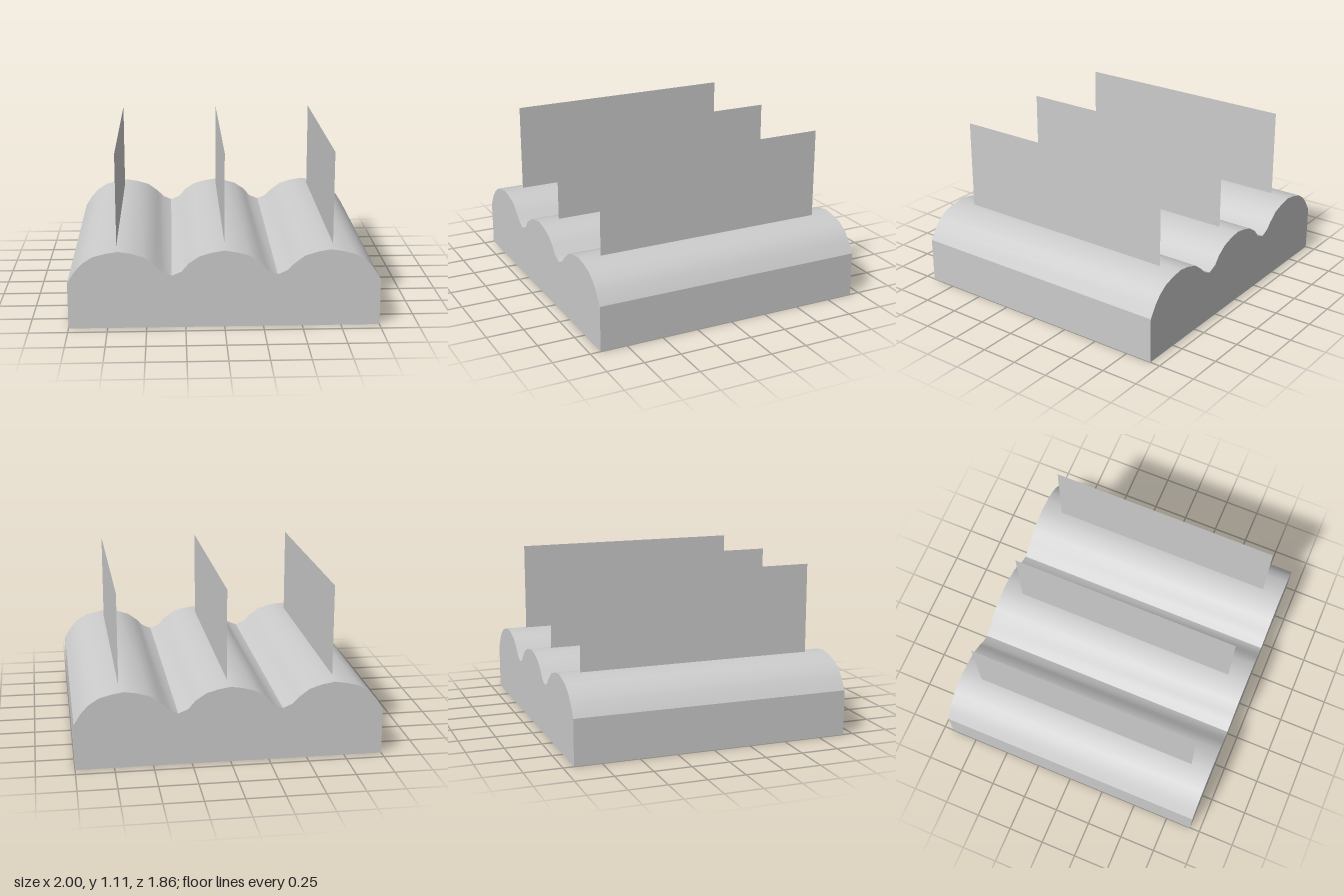
import * as THREE from 'three';
import { toCreasedNormals } from 'three/addons/utils/BufferGeometryUtils.js';

const DEPTH = 1.86;

export function createModel() {
  const group = new THREE.Group();
  const material = new THREE.MeshStandardMaterial({ color: 0xcccccc });
  const thin = new THREE.MeshStandardMaterial({ color: 0xcccccc, side: THREE.DoubleSide });

  // Right half of the wavy top, from the middle crest to the side wall
  const half = [
    [0, 0.51], [0.08, 0.497], [0.157, 0.475], [0.228, 0.428], [0.274, 0.374],
    [0.338, 0.348], [0.398, 0.374], [0.44, 0.417], [0.512, 0.471], [0.597, 0.497],
    [0.677, 0.51], [0.757, 0.497], [0.837, 0.476], [0.904, 0.433], [0.954, 0.378], [1, 0.305],
  ];
  const mirrored = half.slice(1).map(([x, y]) => [-x, y]);
  const outline = [[-1, 0], [1, 0], ...half.slice().reverse(), ...mirrored];

  // Block with three rounded ridges running front to back
  const shape = new THREE.Shape(outline.map(([x, y]) => new THREE.Vector2(x, y)));
  const geometry = new THREE.ExtrudeGeometry(shape, { depth: DEPTH, bevelEnabled: false });
  geometry.translate(0, 0, -DEPTH / 2);
  const base = new THREE.Mesh(toCreasedNormals(geometry, 0.5), material);
  base.name = 'ridgedBase';
  group.add(base);

  // Thin upright panel standing on each ridge
  [-0.69, 0.005, 0.705].forEach((x, i) => {
    const panel = new THREE.Mesh(new THREE.PlaneGeometry(1.58, 0.605), thin);
    panel.rotation.y = Math.PI / 2;
    panel.position.set(x, 0.8075, 0);
    panel.name = `uprightPanel${i + 1}`;
    group.add(panel);
  });

  return group;
}
